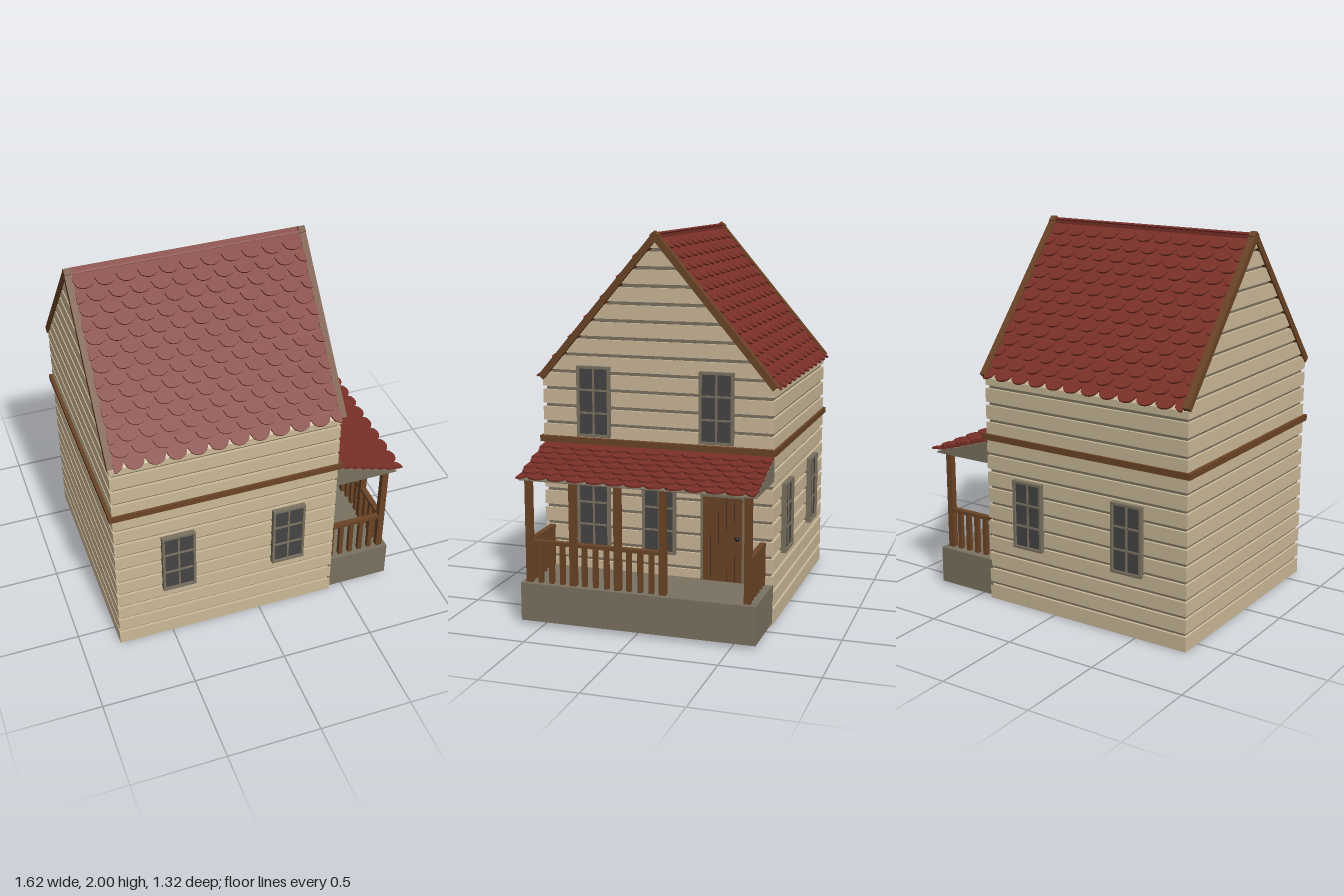
import * as THREE from 'three';

const mat = (color) => new THREE.MeshStandardMaterial({ color, flatShading: true, side: THREE.DoubleSide });
const PLANK = mat(0xcbb998), GREY = mat(0x7a7160), WOOD = mat(0x6b4426);
const TILE = mat(0x7a3028), GLASS = mat(0x444444), DARK = mat(0x222222);

// Wall and roof dimensions
const X0 = -0.797, X1 = 0.422, HALF = 0.622;
const WALL_TOP = 1.955, SLOPE = 1.175, ANGLE = Math.atan(SLOPE);
const EAVE = WALL_TOP - HALF * SLOPE;

function add(parent, name, geometry, material) {
  const mesh = new THREE.Mesh(geometry, material);
  mesh.name = name;
  parent.add(mesh);
  return mesh;
}

function group(parent, name) {
  const g = new THREE.Group();
  g.name = name;
  parent.add(g);
  return g;
}

// Box given by its lower and upper corners
function box(parent, name, material, [x0, y0, z0], [x1, y1, z1]) {
  const g = new THREE.BoxGeometry(x1 - x0, y1 - y0, z1 - z0);
  g.translate((x0 + x1) / 2, (y0 + y1) / 2, (z0 + z1) / 2);
  return add(parent, name, g, material);
}

// Slice of the gabled house between two heights, run along x
function houseSlice(parent, name, material, y0, y1, x0, x1, inset) {
  const half = (y) => Math.max(0.002, Math.min(HALF, (WALL_TOP - y) / SLOPE) - inset);
  const ys = y0 < EAVE && y1 > EAVE ? [y0, EAVE, y1] : [y0, y1];
  const right = ys.map((y) => new THREE.Vector2(half(y), y));
  const left = ys.map((y) => new THREE.Vector2(-half(y), y)).reverse();
  const g = new THREE.ExtrudeGeometry(new THREE.Shape([...right, ...left]), { depth: x1 - x0, bevelEnabled: false });
  g.rotateY(Math.PI / 2).translate(x0, 0, 0);
  return add(parent, name, g, material);
}

// One row of scalloped tiles, hanging down from y = 0
function tileRow(width, count, length, depth, shifted) {
  const steps = 8, pts = [new THREE.Vector2(width / 2, 0), new THREE.Vector2(-width / 2, 0)];
  for (let k = 0; k <= count * steps; k++) {
    const t = ((k + (shifted ? steps / 2 : 0)) % steps) / steps;
    const drop = depth * Math.sqrt(1 - (2 * t - 1) ** 2);
    pts.push(new THREE.Vector2(-width / 2 + (width * k) / (count * steps), -length - drop));
  }
  return new THREE.ExtrudeGeometry(new THREE.Shape(pts), { depth: 0.01, bevelEnabled: false });
}

// Overlapping rows on a slope that falls towards +z
function tiledSlope(parent, name, { width, count, rows, pitch, depth, lift, angle, offset }) {
  const slope = group(parent, name);
  slope.rotation.x = angle - Math.PI / 2;
  for (let i = 0; i < rows; i++) {
    const row = add(slope, 'tileRow', tileRow(width, count, pitch, depth, (rows - i) % 2 === 1), TILE);
    row.position.set(0, -i * pitch, offset);
    row.rotation.x = -Math.asin(lift / (pitch + depth));
  }
  return slope;
}

// Window facing +z, centred on its wall position
function addWindow(parent, x, y, z, turn) {
  const w = group(parent, 'window'), a = 0.09, b = 0.185, t = 0.013, m = 0.005;
  w.position.set(x, y, z);
  w.rotation.y = turn;
  box(w, 'glass', GLASS, [-a + t, -b + t, -0.01], [a - t, b - t, 0.014]);
  for (const s of [-1, 1]) {
    box(w, 'frameSide', GREY, [s * (a - t / 2) - t / 2, -b, -0.01], [s * (a - t / 2) + t / 2, b, 0.026]);
    box(w, 'frameRail', GREY, [-a + t, s * (b - t / 2) - t / 2, -0.01], [a - t, s * (b - t / 2) + t / 2, 0.026]);
    box(w, 'crossBar', GREY, [-a + t, s * 0.06 - m, 0], [a - t, s * 0.06 + m, 0.02]);
  }
  box(w, 'middleBar', GREY, [-m, -b + t, 0], [m, b - t, 0.02]);
}

function addWalls(house) {
  const walls = group(house, 'walls');
  houseSlice(walls, 'wallCore', GREY, 0, WALL_TOP - 0.02, X0 + 0.014, X1 - 0.014, 0.014);
  const pitch = 0.0907, gap = 0.018;
  for (let i = 0; i < 22; i++) {
    const y0 = i ? i * pitch + gap / 2 : 0.002;
    const y1 = Math.min((i + 1) * pitch - gap / 2, WALL_TOP - 0.003);
    if (y1 > y0) houseSlice(walls, 'plank', PLANK, y0, y1, X0, X1, 0);
  }
  box(house, 'floorBand', WOOD, [-0.815, 0.895, -0.635], [0.445, 0.927, 0.635]);
}

function addRoof(house) {
  const roof = group(house, 'roof');
  for (const side of [0, 1]) {
    const half = group(roof, side ? 'backRoof' : 'frontRoof');
    half.position.set(-0.182, 2, 0);
    half.rotation.y = side * Math.PI;
    tiledSlope(half, 'tiles', {
      width: 1.185, count: 11, rows: 14, pitch: 0.069, depth: 0.048,
      lift: 0.026, angle: ANGLE, offset: side ? -0.034 : -0.022,
    });
    // Trim boards along both gable edges
    const trims = group(half, 'gableTrim');
    trims.rotation.x = ANGLE - Math.PI / 2;
    for (const s of [-1, 1]) box(trims, 'trimBoard', WOOD, [s * 0.606 - 0.018, -0.99, -0.034], [s * 0.606 + 0.018, 0, 0]);
  }
  box(roof, 'ridge', TILE, [-0.775, 1.955, -0.012], [0.41, 1.978, 0.012]);
}

function addDoor(house) {
  const door = group(house, 'door'), x = X1;
  box(door, 'doorBack', DARK, [x - 0.01, 0.22, -0.465], [x + 0.008, 0.665, -0.255]);
  for (let i = 0; i < 5; i++) {
    const z = -0.464 + i * 0.0418;
    box(door, 'doorPlank', WOOD, [x - 0.01, 0.22, z], [x + 0.014, 0.665, z + 0.039]);
  }
  for (const z of [-0.475, -0.255]) box(door, 'doorPost', GREY, [x - 0.01, 0.22, z], [x + 0.02, 0.675, z + 0.01]);
  box(door, 'doorHead', GREY, [x - 0.01, 0.665, -0.475], [x + 0.02, 0.676, -0.245]);
  add(door, 'knob', new THREE.SphereGeometry(0.013, 10, 8), DARK).position.set(x + 0.024, 0.455, -0.44);
}

function addPorch(house) {
  const porch = group(house, 'porch');
  box(porch, 'deck', GREY, [0.41, 0.02, -0.622], [0.762, 0.22, 0.618]);

  // Upright of square section standing on the deck
  const upright = (name, x, z, w, top) => box(porch, name, WOOD, [x - w / 2, 0.22, z - w / 2], [x + w / 2, top, z + w / 2]);
  const frontX = 0.722, endZ = 0.58, railEnd = -0.136;
  for (const z of [endZ, 0.341, 0.102, railEnd, -0.572]) upright('post', frontX, z, 0.034, 0.775);

  // Front railing, open before the door
  const step = (endZ - railEnd) / 12;
  for (let i = 1; i < 12; i++) if (i % 4) upright('baluster', frontX, endZ - i * step, 0.024, 0.43);
  box(porch, 'frontRail', WOOD, [frontX - 0.015, 0.424, railEnd], [frontX + 0.015, 0.443, endZ]);

  // Side railings
  for (const z of [endZ, -0.572]) {
    for (let i = 0; i < 5; i++) upright('baluster', 0.432 + i * 0.058, z, 0.024, 0.43);
    box(porch, 'sideRail', WOOD, [0.415, 0.424, z - 0.015], [frontX, 0.443, z + 0.015]);
  }

  // Wedge carrying the porch tiles
  const wedge = new THREE.Shape([[0.415, 0.762], [0.775, 0.762], [0.775, 0.767], [0.415, 0.88]].map((p) => new THREE.Vector2(...p)));
  const g = new THREE.ExtrudeGeometry(wedge, { depth: 1.235, bevelEnabled: false });
  add(porch, 'porchRoofBase', g.translate(0, 0, -0.622), GREY);
  const slope = group(porch, 'porchRoof');
  slope.position.set(0.42, 0.882, -0.005);
  slope.rotation.y = Math.PI / 2;
  tiledSlope(slope, 'porchTiles', {
    width: 1.235, count: 12, rows: 7, pitch: 0.0525, depth: 0.036,
    lift: 0.018, angle: Math.atan(0.314), offset: -0.002,
  });
}

export function createModel() {
  const house = new THREE.Group();
  house.name = 'house';
  addWalls(house);
  addRoof(house);
  // Long walls carry two windows each, the porch gable four
  for (const x of [-0.46, 0.15]) {
    addWindow(house, x, 0.525, HALF, 0);
    addWindow(house, x, 0.525, -HALF, Math.PI);
  }
  for (const [z, y] of [[0.335, 1.12], [-0.325, 1.12], [0.34, 0.525], [-0.02, 0.525]]) addWindow(house, X1, y, z, Math.PI / 2);
  addDoor(house);
  addPorch(house);
  return house;
}
